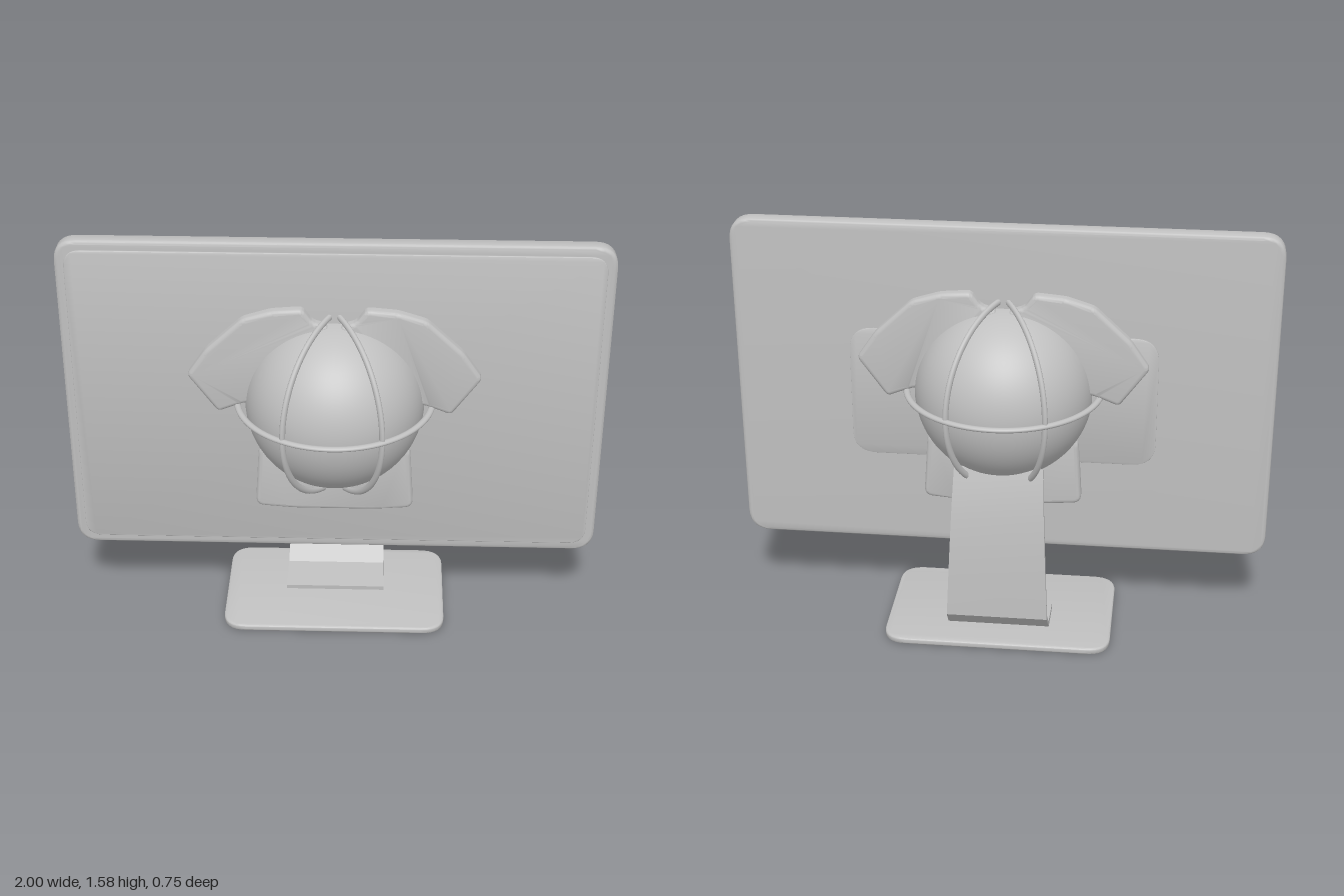
import * as THREE from 'three';
import { toCreasedNormals } from 'three/addons/utils/BufferGeometryUtils.js';

const grey = new THREE.MeshStandardMaterial({ color: 0xc0c0c0 });
grey.name = 'grey';

const CENTER_Y = 0.935;

function add(group, name, geometry) {
  const mesh = new THREE.Mesh(geometry, grey);
  mesh.name = name;
  group.add(mesh);
  return mesh;
}

// Polygon with rounded corners; points listed counter-clockwise
function roundedPolygon(points, radius) {
  const shape = new THREE.Shape();
  const p = points.map(([x, y]) => new THREE.Vector2(x, y));
  p.forEach((corner, i) => {
    const prev = p[(i + p.length - 1) % p.length];
    const next = p[(i + 1) % p.length];
    const from = corner.clone().add(prev.clone().sub(corner).setLength(radius));
    const to = corner.clone().add(next.clone().sub(corner).setLength(radius));
    if (i === 0) shape.moveTo(from.x, from.y);
    else shape.lineTo(from.x, from.y);
    shape.quadraticCurveTo(corner.x, corner.y, to.x, to.y);
  });
  shape.closePath();
  return shape;
}

function rectangle(x0, y0, x1, y1, radius) {
  return roundedPolygon([[x0, y0], [x1, y0], [x1, y1], [x0, y1]], radius);
}

// Softly bevelled slab between z0 and z1 that keeps the outline of the shape
function slab(shape, z0, z1, bevel) {
  const geometry = new THREE.ExtrudeGeometry(shape, {
    depth: z1 - z0 - 2 * bevel, bevelEnabled: bevel > 0, bevelSize: bevel,
    bevelThickness: bevel, bevelOffset: -bevel, bevelSegments: 4, curveSegments: 8,
  });
  geometry.translate(0, 0, z0 + bevel);
  return toCreasedNormals(geometry, 0.6);
}

// Bent strip that leans behind the screen, slightly wider at its foot
function standGeometry() {
  const path = [[-0.19, 0.7], [-0.213, 0.62], [-0.234, 0.51], [-0.248, 0.38],
    [-0.256, 0.26], [-0.262, 0.105], [-0.205, 0.043], [-0.05, 0.033]]
    .map(([z, y]) => new THREE.Vector2(z, y));
  const sides = [[], []];
  path.forEach((point, i) => {
    const a = path[Math.max(i - 1, 0)];
    const b = path[Math.min(i + 1, path.length - 1)];
    const dir = b.clone().sub(a).normalize();
    const normal = new THREE.Vector2(-dir.y, dir.x).multiplyScalar(0.01);
    sides[0].push(point.clone().add(normal));
    sides[1].unshift(point.clone().sub(normal));
  });
  const geometry = new THREE.ExtrudeGeometry(new THREE.Shape([...sides[0], ...sides[1]]),
    { depth: 2, bevelEnabled: false });
  geometry.translate(0, 0, -1);
  geometry.rotateY(-Math.PI / 2);
  const pos = geometry.attributes.position;
  for (let i = 0; i < pos.count; i++) {
    const halfWidth = 0.195 - 0.03 * Math.min(1, pos.getY(i) / 0.7);
    pos.setX(i, pos.getX(i) * halfWidth);
  }
  geometry.computeVertexNormals();
  return toCreasedNormals(geometry, 0.35);
}

export function createModel() {
  const model = new THREE.Group();
  model.name = 'monitor';

  // Foot and stand
  const base = add(model, 'base', slab(rectangle(-0.43, -0.2, 0.43, 0.338, 0.09), 0, 0.026, 0.008));
  base.rotation.x = -Math.PI / 2;
  add(model, 'stand', standGeometry());

  // Screen housing with its front and back panels
  add(model, 'screenHousing', slab(rectangle(-1, 0.292, 1, 1.575, 0.085), -0.035, 0.029, 0.014));
  add(model, 'frontPanel', slab(rectangle(-0.965, 0.327, 0.965, 1.54, 0.065), 0.026, 0.035, 0.003));
  add(model, 'backPanel', slab(rectangle(-0.57, 0.66, 0.57, 1.17, 0.09), -0.041, -0.033, 0.002));

  // Central ball, showing through both sides
  const ball = add(model, 'ball', new THREE.SphereGeometry(0.333, 64, 40));
  ball.position.y = CENTER_Y;

  // Pair of wings and the lower block
  const wing = [[0.02, 1.0], [0.34, 0.946], [0.43, 0.91], [0.54, 1.062],
    [0.47, 1.165], [0.335, 1.292], [0.23, 1.325], [0.115, 1.335], [0.08, 1.285], [0.02, 1.265]];
  for (const [side, name] of [[1, 'leftWing'], [-1, 'rightWing']]) {
    const points = wing.map(([x, y]) => [x * side, y]);
    if (side < 0) points.reverse();
    add(model, name, slab(roundedPolygon(points, 0.018), -0.072, 0.072, 0.016));
  }
  const block = [[-0.3, 0.5], [-0.15, 0.488], [0.15, 0.488], [0.3, 0.5], [0.283, 0.765], [-0.283, 0.765]];
  add(model, 'lowerBlock', slab(roundedPolygon(block, 0.035), -0.072, 0.072, 0.016));

  // Hoops around the ball
  const equator = add(model, 'equatorHoop', new THREE.TorusGeometry(0.3625, 0.0125, 12, 96));
  equator.rotation.x = Math.PI / 2;
  equator.scale.z = 0.75;
  equator.position.y = CENTER_Y;

  const start = THREE.MathUtils.degToRad(-78);
  const end = THREE.MathUtils.degToRad(86);
  for (const degrees of [60, 120, 240, 300]) {
    const rib = new THREE.Group();
    rib.name = 'rib';
    const arc = new THREE.TorusGeometry(0.3565, 0.0125, 12, 56, end - start);
    arc.rotateZ(start);
    add(rib, 'ribArc', arc);
    for (const angle of [start, end]) {
      const tip = add(rib, 'ribTip', new THREE.SphereGeometry(0.0125, 12, 8));
      tip.position.set(0.3565 * Math.cos(angle), 0.3565 * Math.sin(angle), 0);
    }
    rib.scale.z = 0.8;
    rib.rotation.y = THREE.MathUtils.degToRad(degrees);
    rib.position.y = CENTER_Y;
    model.add(rib);
  }
  return model;
}
